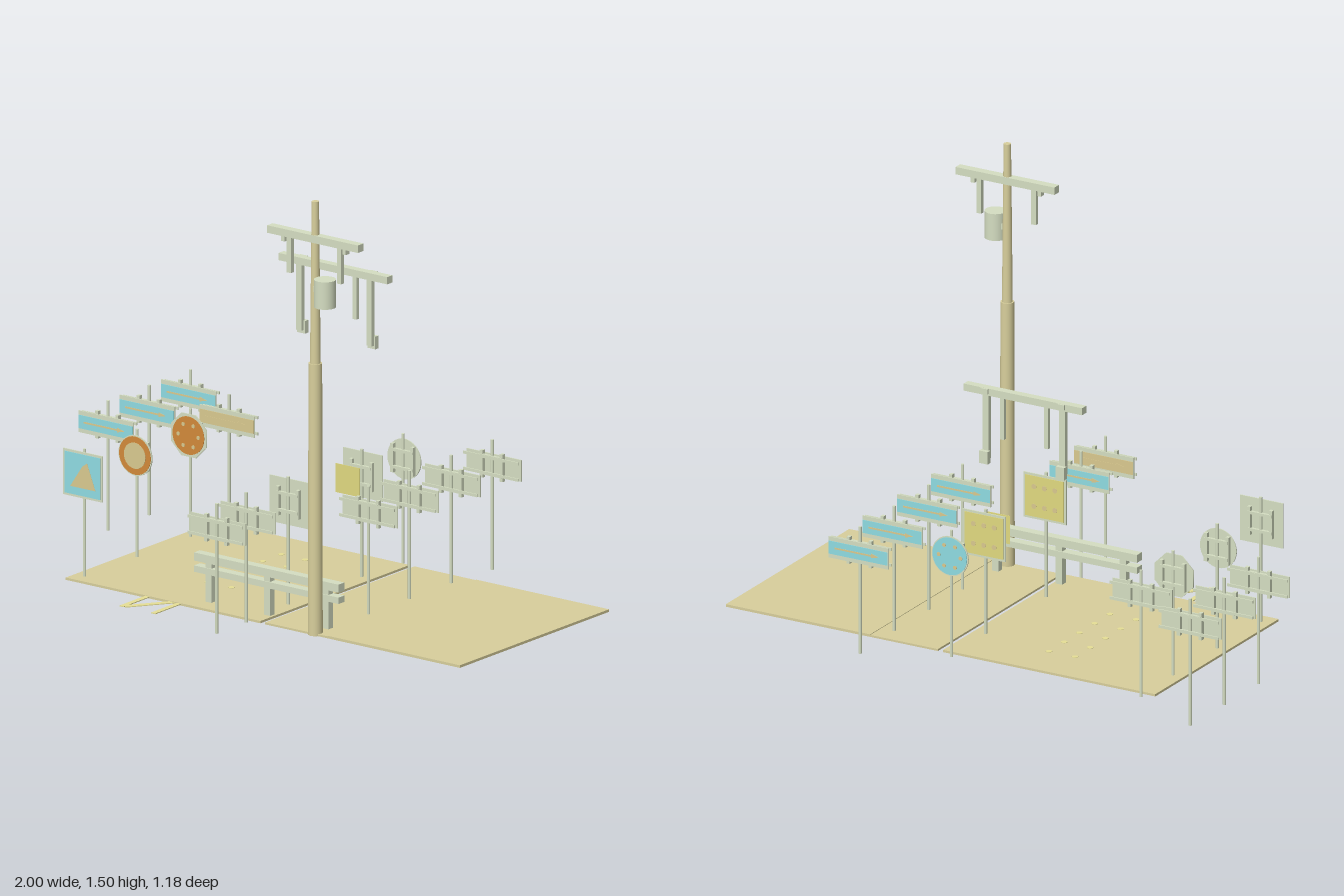
import * as THREE from 'three';

const mat = (color, side = THREE.FrontSide) => new THREE.MeshStandardMaterial({ color, side });
const SAGE = mat(0xd5dec2), TAN = mat(0xd8cf9c), CYAN = mat(0x8fdbe2), ORANGE = mat(0xd28a3a);
const SAND = mat(0xd9c98f), YELLOW = mat(0xe0d980), PAINT = mat(0xe6df96);

function add(parent, name, geometry, material, x = 0, y = 0, z = 0) {
  const m = new THREE.Mesh(geometry, material);
  m.name = name;
  m.position.set(x, y, z);
  parent.add(m);
  return m;
}
const box = (p, name, mt, w, h, d, x, y, z) => add(p, name, new THREE.BoxGeometry(w, h, d), mt, x, y, z);
const rod = (p, name, mt, r0, r1, y0, y1, x, z, n = 20) =>
  add(p, name, new THREE.CylinderGeometry(r1, r0, y1 - y0, n), mt, x, (y0 + y1) / 2, z);

// disc whose axis points along z
function disc(p, name, mt, r, d, z, n = 32, x = 0, y = 0) {
  const g = new THREE.CylinderGeometry(r, r, d, n);
  if (n === 8) g.rotateY(Math.PI / 8);
  return add(p, name, g.rotateX(Math.PI / 2), mt, x, y, z);
}
// flat symbol cut from a list of x, y points
function symbol(p, mt, points, z) {
  const shape = new THREE.Shape(points.map(([x, y]) => new THREE.Vector2(x, y)));
  add(p, 'symbol', new THREE.ExtrudeGeometry(shape, { depth: 0.001, bevelEnabled: false }), mt, 0, 0, z);
}

// road sign on a post; facing 1 looks to +z, -1 to -z
function sign(root, kind, x, z, facing, colour) {
  const g = new THREE.Group();
  g.name = kind + 'Sign';
  g.position.set(x, 0, z);
  if (facing < 0) g.rotation.y = Math.PI;
  root.add(g);
  rod(g, 'post', SAGE, 0.0055, 0.0055, 0, 0.45, 0, 0, 12);
  const head = new THREE.Group();
  head.name = 'signHead';
  head.position.y = 0.36;
  g.add(head);

  if (kind === 'direction') {
    box(head, 'panel', SAGE, 0.23, 0.075, 0.004, 0, 0, 0.01);
    box(head, 'face', colour, 0.226, 0.046, 0.002, 0, 0, 0.013);
    symbol(head, SAND, [[-0.09, -0.003], [0.05, -0.003], [0.05, -0.008], [0.08, 0],
      [0.05, 0.008], [0.05, 0.003], [-0.09, 0.003]], 0.014);
    for (const s of [-1, 1]) box(head, 'rearRail', SAGE, 0.23, 0.01, 0.004, 0, s * 0.028, -0.008);
  } else if (kind === 'square') {
    box(head, 'panel', SAGE, 0.165, 0.16, 0.004, 0, 0, 0.008);
    box(head, 'face', colour, 0.148, 0.144, 0.002, 0, 0, 0.011);
    if (colour === CYAN) symbol(head, SAND, [[-0.05, -0.045], [0.055, -0.045], [0.02, 0.045], [0, 0.03]], 0.012);
    else for (const i of [-1, 0, 1]) for (const j of [-1, 1]) disc(head, 'spot', SAND, 0.009, 0.002, 0.0125, 12, i * 0.04, j * 0.035);
  } else {
    const r = kind === 'octagon' ? 0.08 : 0.07;
    disc(head, 'panel', SAGE, r, 0.004, 0.008, kind === 'octagon' ? 8 : 32);
    disc(head, 'face', colour, 0.066, 0.002, 0.011);
    if (kind === 'ring') disc(head, 'centre', SAND, 0.045, 0.002, 0.0125);
    else for (let i = 0; i < 6; i++) {
      const a = i * Math.PI / 3;
      disc(head, 'spot', SAND, 0.007, 0.002, 0.0125, 12, 0.042 * Math.cos(a), 0.042 * Math.sin(a));
    }
  }
  // rear brackets clamping the panel to the post
  const tall = kind === 'direction' ? 0.095 : 0.1;
  for (const s of [-1, 1]) {
    box(head, 'bracket', SAGE, 0.012, tall, 0.014, s * 0.042, 0, 0);
    box(head, 'clamp', SAGE, 0.09, 0.01, 0.01, 0, s * 0.03, -0.004);
  }
}

export function createModel() {
  const root = new THREE.Group();
  root.name = 'streetFurniture';

  // ground slabs, with a slightly raised outer pavement
  box(root, 'roadSlab', TAN, 0.815, 0.008, 0.81, -0.2425, 0.004, -0.01);
  box(root, 'kerbSlab', TAN, 0.26, 0.007, 0.81, 0.315, 0.0035, -0.01);
  box(root, 'pavementSlab', TAN, 0.555, 0.009, 0.81, 0.7225, 0.0045, -0.01);

  // road studs
  for (const x of [-0.245, -0.145])
    for (let i = 0; i < 5; i++) rod(root, 'roadStud', PAINT, 0.011, 0.011, 0.006, 0.0095, x, -0.25 + i * 0.1, 12);

  // painted marking past the road edge
  for (const x of [-0.308, -0.176]) box(root, 'roadMarking', PAINT, 0.018, 0.003, 0.15, x, 0.005, 0.46);
  box(root, 'roadMarkingDiagonal', PAINT, 0.02, 0.003, 0.17, -0.25, 0.005, 0.46).rotation.y = -0.62;

  // utility pole with crossarm and transformer
  const pole = new THREE.Group();
  pole.name = 'utilityPole';
  pole.position.set(0.385, 0, 0.382);
  root.add(pole);
  rod(pole, 'lowerShaft', TAN, 0.025, 0.023, 0, 0.94, 0, 0, 24);
  rod(pole, 'upperShaft', TAN, 0.018, 0.0125, 0.94, 1.5, 0, 0, 24);
  box(pole, 'crossarm', SAGE, 0.38, 0.026, 0.03, 0, 1.372, 0);
  for (const s of [-1, 1]) {
    box(pole, 'insulator', SAGE, 0.018, 0.125, 0.016, s * 0.105, 1.297, 0);
    box(pole, 'armBracket', SAGE, 0.014, 0.02, 0.02, s * 0.128, 1.35, 0);
  }
  rod(pole, 'transformer', SAGE, 0.037, 0.037, 1.15, 1.245, 0.057, 0.021, 28);
  box(pole, 'transformerMount', SAGE, 0.03, 0.02, 0.015, 0.02, 1.2, 0.01);

  // separate spare crossarm
  const arm = new THREE.Group();
  arm.name = 'spareCrossarm';
  arm.position.set(-0.1625, 0, -0.437);
  root.add(arm);
  box(arm, 'beam', SAGE, 0.455, 0.025, 0.028, 0, 0.972, 0);
  for (const s of [-1, 1]) {
    box(arm, 'longHanger', SAGE, 0.022, 0.23, 0.016, s * 0.147, 0.845, 0);
    box(arm, 'hangerFoot', SAGE, 0.033, 0.044, 0.018, s * 0.147, 0.74, -0.013);
    box(arm, 'shortHanger', SAGE, 0.015, 0.155, 0.014, s * 0.085, 0.888, 0);
    box(arm, 'boltCap', SAGE, 0.03, 0.018, 0.012, s * 0.147, 0.975, -0.015);
  }

  // guard rail
  const rail = new THREE.Group();
  rail.name = 'guardRail';
  rail.position.set(0.1425, 0, 0.318);
  root.add(rail);
  for (const y of [0.157, 0.115]) box(rail, 'rail', SAGE, 0.605, y > 0.14 ? 0.028 : 0.022, 0.032, 0, y, 0);
  for (const x of [-0.245, 0, 0.245]) box(rail, 'railPost', SAGE, 0.025, 0.17, 0.024, x, 0.085, 0);

  // direction signs
  for (const z of [-0.587, -0.363, -0.139]) sign(root, 'direction', -0.885, z, 1, CYAN);
  for (const z of [-0.563, -0.34, -0.113, 0.109]) sign(root, 'direction', 0.397, z, -1, CYAN);
  sign(root, 'direction', -0.61, -0.44, 1, SAND);
  sign(root, 'direction', 0.12, 0.413, -1, CYAN);
  sign(root, 'direction', 0.12, 0.574, -1, SAND);

  // round and square signs
  sign(root, 'octagon', -0.61, -0.23, 1, ORANGE);
  const ringSign = [-0.61, 0.06];
  sign(root, 'ring', ...ringSign, 1, ORANGE);
  sign(root, 'square', -0.61, 0.345, 1, CYAN);
  sign(root, 'round', 0.12, -0.437, -1, CYAN);
  sign(root, 'square', 0.12, -0.213, -1, YELLOW);
  sign(root, 'square', 0.12, 0.185, -1, YELLOW);

  // loose yellow plate beside the square sign
  box(root, 'yellowPlate', YELLOW, 0.1, 0.1, 0.002, 0.12, 0.36, -0.138);
  return root;
}
